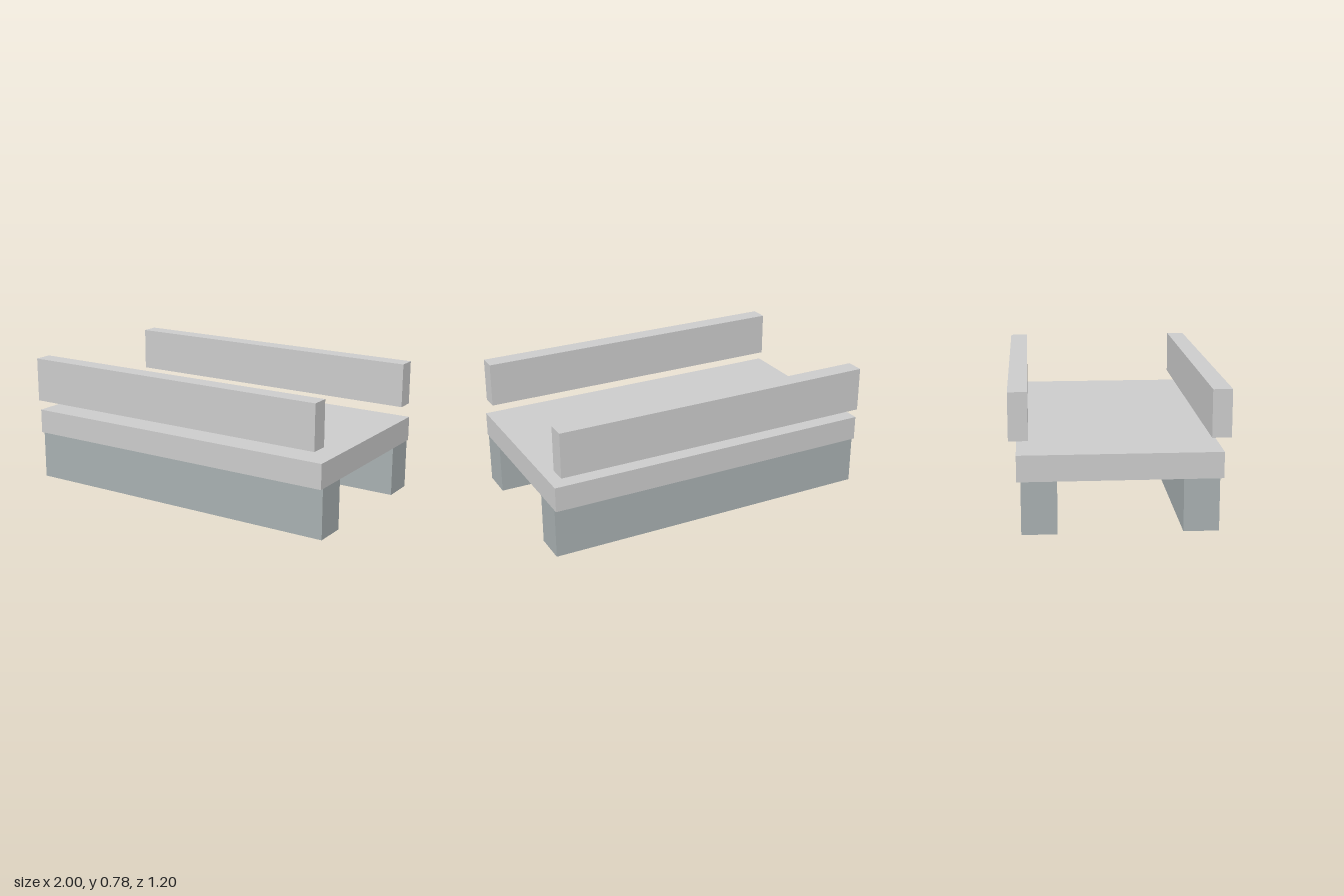
import * as THREE from 'three';

const grey = new THREE.MeshStandardMaterial({ color: 0xcccccc });
const blueGrey = new THREE.MeshStandardMaterial({ color: 0xa8b0b1 });

// Box spanning the given y and z ranges, centred on x
function beam(name, length, [y0, y1], [z0, z1], material) {
  const mesh = new THREE.Mesh(new THREE.BoxGeometry(length, y1 - y0, z1 - z0), material);
  mesh.name = name;
  mesh.position.set(0, (y0 + y1) / 2, (z0 + z1) / 2);
  return mesh;
}

export function createModel() {
  const group = new THREE.Group();
  group.name = 'railedPlatform';

  // Deck slab
  group.add(beam('deck', 2, [0.296, 0.443], [-0.56, 0.56], grey));

  // Support beams below and floating side rails above, front and back
  for (const [side, s] of [['front', 1], ['back', -1]]) {
    const range = (a, b) => (s > 0 ? [a, b] : [-b, -a]);
    group.add(beam(side + 'Support', 2, [0, 0.296], range(0.342, 0.538), blueGrey));
    group.add(beam(side + 'Rail', 1.952, [0.516, 0.782], range(0.493, 0.6), grey));
  }
  return group;
}
